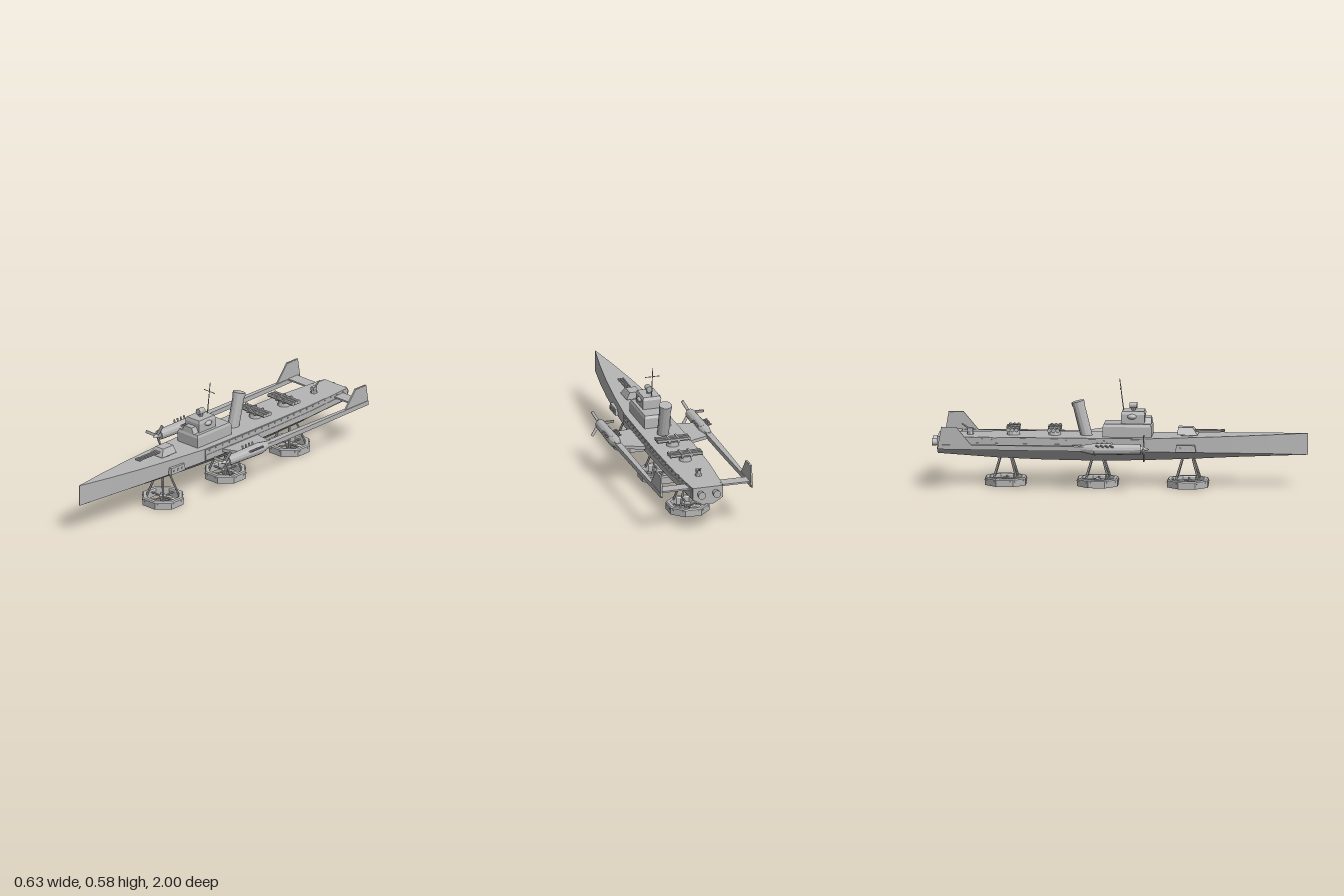
import * as THREE from 'three';

const gray = new THREE.MeshStandardMaterial({ color: 0xb6b6b6 });
gray.name = 'hull gray';

// Flat-faced copy of a geometry
function flat(geo) {
  const g = geo.index ? geo.toNonIndexed() : geo;
  g.computeVertexNormals();
  return g;
}

function add(parent, name, geo, x = 0, y = 0, z = 0) {
  const m = new THREE.Mesh(geo, gray);
  m.name = name;
  m.position.set(x, y, z);
  parent.add(m);
  return m;
}

function group(parent, name, x = 0, y = 0, z = 0) {
  const g = new THREE.Group();
  g.name = name;
  g.position.set(x, y, z);
  parent.add(g);
  return g;
}

const box = (w, h, d) => new THREE.BoxGeometry(w, h, d);

// Box standing on y = 0 whose top is scaled and shifted along z
function taper(w, h, d, sx, sz, shift = 0) {
  const g = box(w, h, d).translate(0, h / 2, 0), p = g.attributes.position;
  for (let i = 0; i < p.count; i++) if (p.getY(i) > h / 2) {
    p.setX(i, p.getX(i) * sx);
    p.setZ(i, p.getZ(i) * sz + shift);
  }
  return flat(g);
}

// Round bar between two points
function bar(parent, name, a, b, r, r2 = r, sides = 8) {
  const p = new THREE.Vector3(...a), q = new THREE.Vector3(...b), d = q.clone().sub(p);
  const m = add(parent, name, flat(new THREE.CylinderGeometry(r2, r, d.length(), sides)));
  m.position.copy(p).add(q).multiplyScalar(0.5);
  m.quaternion.setFromUnitVectors(new THREE.Vector3(0, 1, 0), d.normalize());
  return m;
}

// Skin over cross-sections running from front to back, clockwise seen from the front
function loft(sections) {
  const v = [], n = sections[0].length;
  for (let i = 0; i + 1 < sections.length; i++) for (let j = 0; j < n; j++) {
    const s = sections[i], t = sections[i + 1], k = (j + 1) % n;
    v.push(...s[j], ...s[k], ...t[k], ...s[j], ...t[k], ...t[j]);
  }
  const f = sections[0], b = sections[sections.length - 1];
  for (let j = 1; j + 1 < n; j++) v.push(...f[0], ...f[j + 1], ...f[j], ...b[0], ...b[j], ...b[j + 1]);
  const g = new THREE.BufferGeometry();
  g.setAttribute('position', new THREE.Float32BufferAttribute(v, 3));
  g.computeVertexNormals();
  return g;
}

// Flat plate from an outline, thickness centred
function plate(points, t) {
  const s = new THREE.Shape(points.map(([x, y]) => new THREE.Vector2(x, y)));
  return new THREE.ExtrudeGeometry(s, { depth: t, bevelEnabled: false }).translate(0, 0, -t / 2);
}

// Hull stations: z, half width, deck, chine, keel, keel half width
const stations = [
  [1, 0.002, 0.294, 0.18, 0.178, 0.001], [0.8, 0.037, 0.288, 0.187, 0.171, 0.009],
  [0.6, 0.066, 0.282, 0.192, 0.163, 0.016], [0.4, 0.089, 0.277, 0.196, 0.153, 0.024],
  [0.15, 0.110, 0.270, 0.2, 0.143, 0.03], [-0.1, 0.113, 0.270, 0.2, 0.136, 0.032],
  [-0.4, 0.113, 0.269, 0.2, 0.139, 0.032], [-0.65, 0.107, 0.267, 0.2, 0.147, 0.032],
  [-0.97, 0.083, 0.264, 0.198, 0.167, 0.032],
];

function halfWidth(z) {
  for (let i = 1; i < stations.length; i++) {
    const [z0, w0] = stations[i - 1], [z1, w1] = stations[i];
    if (z >= z1) return w0 + (w1 - w0) * (z0 - z) / (z0 - z1);
  }
  return 0.083;
}

function buildHull(ship) {
  add(ship, 'hull', loft(stations.map(([z, w, d, c, k, kw]) =>
    [[w, d, z], [w, c, z], [kw, k, z], [-kw, k, z], [-w, c, z], [-w, d, z]])));
  for (const s of [-1, 1]) {
    // Armour belts, the lower one standing further out
    for (const [y0, y1, out] of [[0.236, 0.265, 0.003], [0.205, 0.236, 0.005]]) {
      add(ship, 'armourBelt', loft([0.15, -0.1, -0.4, -0.65, -0.955].map(z => {
        const w = halfWidth(z), a = s * (w + out), b = s * (w - 0.006);
        const hi = Math.max(a, b), lo = Math.min(a, b);
        return [[hi, y1, z], [hi, y0, z], [lo, y0, z], [lo, y1, z]];
      })));
    }
    for (let z = 0.12; z > -0.95; z -= 0.05) {
      add(ship, 'rivet', box(0.005, 0.005, 0.006), s * (halfWidth(z) + 0.004), 0.256, z);
    }
    // Forward sponson with portholes
    add(ship, 'sponson', taper(0.04, 0.036, 0.11, 0.9, 0.9), s * 0.09, 0.2, 0.355);
    for (const dz of [-0.03, 0, 0.03]) {
      bar(ship, 'porthole', [s * 0.104, 0.218, 0.355 + dz], [s * 0.112, 0.218, 0.355 + dz], 0.007);
    }
    bar(ship, 'sternNozzle', [s * 0.042, 0.228, -0.96], [s * 0.042, 0.228, -1], 0.017, 0.021, 12);
  }
}

function buildBridge(ship) {
  add(ship, 'deckhouse', box(0.146, 0.056, 0.26), 0, 0.297, 0.04);
  add(ship, 'deckhouseRoof', taper(0.146, 0.015, 0.26, 0.92, 0.95), 0, 0.325, 0.04);
  add(ship, 'bridge', box(0.1, 0.05, 0.125), 0, 0.364, 0.07);
  add(ship, 'bridgeRoof', taper(0.104, 0.017, 0.13, 0.88, 0.9), 0, 0.389, 0.07);
  add(ship, 'bridgeFront', taper(0.088, 0.033, 0.04, 0.6, 0.8), 0, 0.339, 0.15);
  for (const s of [-1, 1]) {
    const wing = add(ship, 'bridgeWing', new THREE.SphereGeometry(0.018, 10, 8), s * 0.05, 0.378, 0.065);
    wing.scale.set(0.9, 0.8, 1.4);
  }
  // Searchlight on the roof
  bar(ship, 'lightPedestal', [0, 0.404, 0.07], [0, 0.42, 0.07], 0.012);
  bar(ship, 'searchlight', [0, 0.433, 0.05], [0, 0.433, 0.09], 0.017, 0.017, 12);
  // Raked mast
  bar(ship, 'mast', [0, 0.4, 0.018], [0, 0.575, -0.004], 0.003, 0.002, 6);
  bar(ship, 'mastYard', [-0.04, 0.525, 0.002], [0.04, 0.525, 0.002], 0.002, 0.002, 6);
  // Raked funnel
  bar(ship, 'funnel', [0, 0.262, -0.18], [0, 0.44, -0.225], 0.032, 0.032, 12);
  bar(ship, 'funnelCap', [0, 0.427, -0.222], [0, 0.45, -0.228], 0.035, 0.035, 12);
}

function buildGuns(ship) {
  // Triple forward turret
  bar(ship, 'turretBase', [0, 0.265, 0.36], [0, 0.284, 0.36], 0.042, 0.042, 12);
  add(ship, 'turret', taper(0.094, 0.038, 0.11, 0.6, 0.7, -0.012), 0, 0.282, 0.36);
  for (const x of [-0.013, 0, 0.013]) {
    bar(ship, 'barrel', [x, 0.302, 0.38], [x, 0.302, 0.55], 0.005, 0.004);
    bar(ship, 'muzzle', [x, 0.302, 0.535], [x, 0.302, 0.556], 0.006);
  }
  // Transverse triple tube launchers
  for (const z of [-0.35, -0.57]) {
    const g = group(ship, 'tubeLauncher', 0, 0, z);
    bar(g, 'launcherBase', [0, 0.26, 0], [0, 0.294, 0], 0.036, 0.03, 12);
    for (const dz of [-0.022, 0, 0.022]) {
      bar(g, 'tube', [-0.088, 0.304, dz], [0.088, 0.304, dz], 0.01);
      for (const s of [-1, 1]) bar(g, 'tubeCap', [s * 0.084, 0.304, dz], [s * 0.09, 0.304, dz], 0.0115);
    }
    for (const x of [-0.025, 0.025]) add(g, 'clamp', box(0.01, 0.024, 0.07), x, 0.304, 0);
  }
  // Aft light gun
  bar(ship, 'aftGunBase', [0, 0.262, -0.8], [0, 0.284, -0.8], 0.02, 0.014);
  add(ship, 'aftGunBody', box(0.02, 0.018, 0.03), 0, 0.291, -0.8);
  bar(ship, 'aftGunBarrel', [0, 0.288, -0.795], [0, 0.322, -0.845], 0.005, 0.004);
}

function buildOutrigger(ship, s) {
  const g = group(ship, s > 0 ? 'leftOutrigger' : 'rightOutrigger', s * 0.251, 0.237, 0);
  // Wing, narrowing to the engine
  const wing = add(g, 'wing', plate([[-0.15, -0.03], [0.005, 0.02], [0.005, 0.21], [-0.15, 0.25]]
    .map(([x, y]) => [s * x, y]), 0.017).rotateX(-Math.PI / 2), 0, -0.004, 0);
  wing.rotation.z = s * 0.06;
  // Engine, spinner and exhausts
  bar(g, 'engine', [0, -0.003, -0.12], [0, 0, 0.128], 0.032, 0.027, 12);
  bar(g, 'engineTail', [0, 0, -0.2], [0, -0.003, -0.12], 0.016, 0.032, 12);
  bar(g, 'spinner', [0, 0, 0.128], [0, 0, 0.172], 0.017, 0.002, 12);
  for (const z of [-0.1, -0.075, -0.05, -0.025]) for (const e of [-1, 1]) {
    bar(g, 'exhaust', [e * 0.018, 0.01, z + 0.01], [e * 0.042, 0.024, z - 0.008], 0.005, 0.005, 6);
  }
  // Propeller, turned the same way on both sides
  for (const a of [Math.PI, Math.PI / 3, -Math.PI / 3]) {
    const blade = group(g, 'blade', 0, 0, 0.143);
    blade.rotation.z = a;
    add(blade, 'bladePlate', box(0.075, 0.015, 0.006), 0.0425, 0, 0).rotation.x = 0.3;
  }
  // Boom and tail fin
  add(g, 'boom', loft([[-0.1, 0.018, 0.012], [-0.5, 0.014, 0.013], [-0.95, 0.007, 0.012]].map(([z, w, h]) =>
    [[w, h, z], [w, -h, z], [-w, -h, z], [-w, h, z]])));
  const fin = [[-0.77, 0.005], [-0.855, 0.107], [-0.935, 0.107], [-0.955, -0.012], [-0.79, -0.012]];
  add(g, 'tailFin', plate(fin.map(([z, y]) => [-z, y]), 0.009).rotateY(Math.PI / 2));
  add(g, 'finCap', box(0.012, 0.016, 0.08), 0, 0.097, -0.893);
}

function buildPad(ship, z) {
  const g = group(ship, 'liftPad', 0, 0, z);
  // Octagonal ring
  const profile = [[0.117, 0], [0.117, 0.036], [0.111, 0.042], [0.092, 0.042], [0.088, 0.036], [0.088, 0], [0.117, 0]];
  add(g, 'ring', flat(new THREE.LatheGeometry(profile.map(p => new THREE.Vector2(...p)), 8))).rotation.y = Math.PI / 8;
  // Fan hub, spokes and bolts
  bar(g, 'hub', [0, 0.008, 0], [0, 0.036, 0], 0.016, 0.02, 10);
  for (let i = 0; i < 4; i++) {
    const a = i * Math.PI / 2, c = Math.cos(a), s = Math.sin(a);
    bar(g, 'spoke', [0, 0.03, 0], [c * 0.09, 0.03, s * 0.09], 0.005, 0.005, 6);
    const fan = group(g, 'fanBlade', 0, 0.015, 0);
    fan.rotation.y = a + Math.PI / 4;
    add(fan, 'fanPlate', box(0.065, 0.004, 0.02), 0.045, 0, 0).rotation.x = 0.4;
  }
  for (let i = 0; i < 8; i++) {
    const side = group(g, 'bolts');
    side.rotation.y = i * Math.PI / 4;
    for (const x of [-0.03, 0.03]) add(side, 'bolt', box(0.005, 0.005, 0.006), x, 0.027, 0.108);
  }
  // Splayed struts
  for (const x of [-1, 1]) for (const dz of [-1, 1]) {
    bar(g, 'strut', [x * 0.06, 0.034, dz * 0.062], [x * 0.027, 0.152, dz * 0.028], 0.006, 0.006, 6);
  }
}

export function createModel() {
  const model = new THREE.Group();
  model.name = 'model';
  const ship = group(model, 'airship', 0.016);
  buildHull(ship);
  buildBridge(ship);
  buildGuns(ship);
  for (const s of [-1, 1]) buildOutrigger(ship, s);
  add(ship, 'tailplane', box(0.5, 0.009, 0.07), 0, 0.247, -0.895);
  for (const z of [0.36, -0.12, -0.61]) buildPad(ship, z);
  return model;
}
